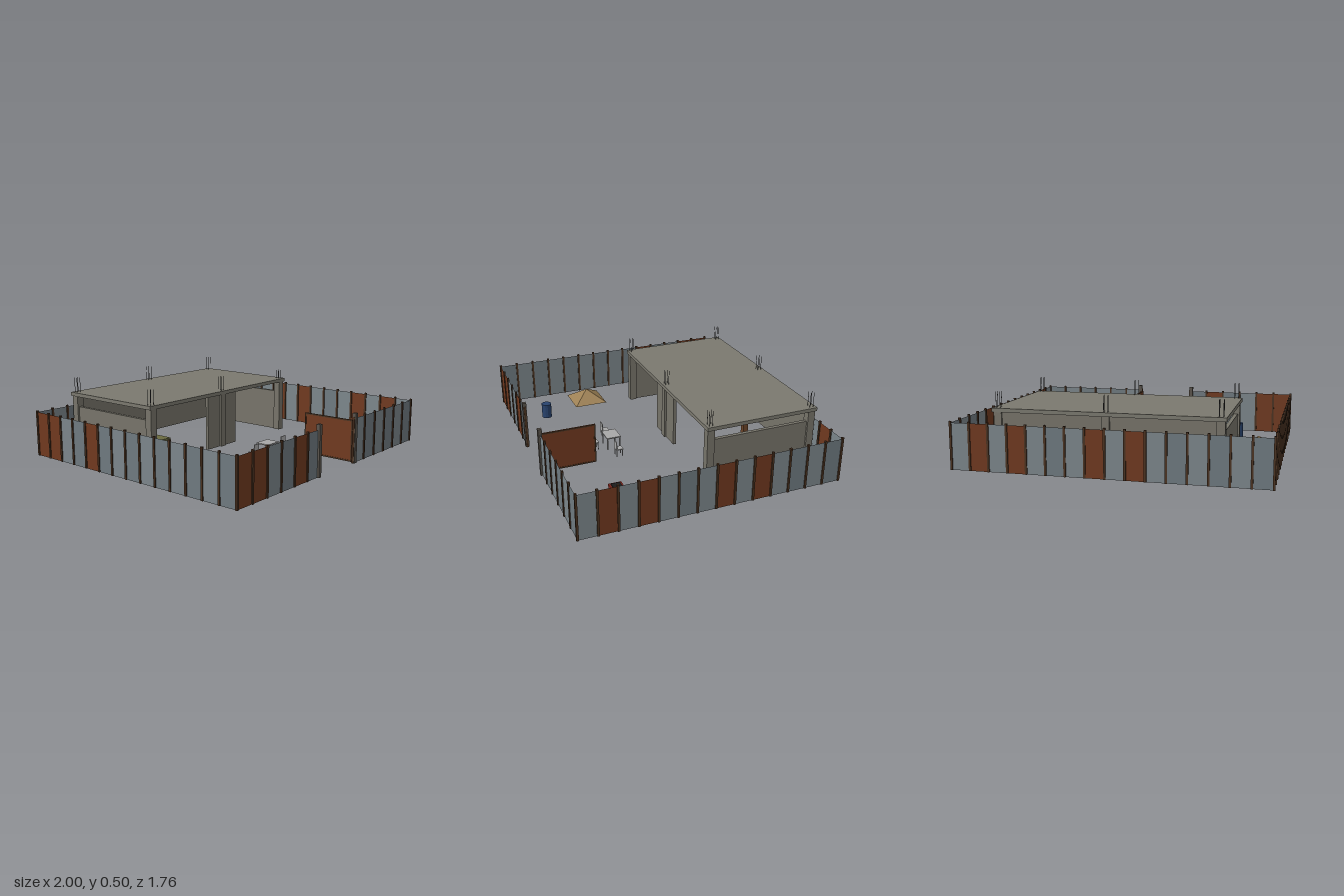
import * as THREE from 'three';

const mat = (color, side = THREE.FrontSide) => new THREE.MeshStandardMaterial({ color, side, flatShading: true });
const M = {
  slab: mat(0x7b796f), concrete: mat(0x77746a), steel: mat(0x4a4a4a),
  sheetA: mat(0x6f7a80, THREE.DoubleSide), sheetB: mat(0x7c868b, THREE.DoubleSide),
  rust: mat(0x70391f, THREE.DoubleSide), post: mat(0x4a3220), gatePost: mat(0x5a544c),
  furniture: mat(0xa8a8a8), block: mat(0x77756d), sand: mat(0x9c8054),
  blue: mat(0x28436e), red: mat(0x8a2a20), dark: mat(0x1c1c1c), olive: mat(0x6b6b40), wood: mat(0x6b4428),
};

function add(parent, name, geometry, material, x = 0, y = 0, z = 0) {
  const mesh = new THREE.Mesh(geometry, material);
  mesh.name = name;
  mesh.position.set(x, y, z);
  parent.add(mesh);
  return mesh;
}

// Box given by its centre in plan, its bottom height and its size
function box(parent, name, material, [x, y, z], [w, h, d]) {
  return add(parent, name, new THREE.BoxGeometry(w, h, d), material, x, y + h / 2, z);
}

function group(parent, name, x = 0, y = 0, z = 0) {
  const g = new THREE.Group();
  g.name = name;
  g.position.set(x, y, z);
  parent.add(g);
  return g;
}

// Straight run of thin sheets between posts; rusty lists the brown sheets
function fence(parent, name, [x0, z0], [x1, z1], count, rusty) {
  const run = group(parent, name);
  const length = Math.hypot(x1 - x0, z1 - z0);
  const angle = Math.atan2(-(z1 - z0), x1 - x0);
  for (let i = 0; i <= count; i++) {
    const at = (t) => [x0 + (x1 - x0) * t / count, z0 + (z1 - z0) * t / count];
    const [px, pz] = at(i);
    box(run, 'fencePost', M.post, [px, 0, pz], [0.014, 0.31, 0.014]);
    if (i === count) break;
    const [cx, cz] = at(i + 0.5);
    const material = rusty.includes(i) ? M.rust : i % 2 ? M.sheetA : M.sheetB;
    add(run, 'fenceSheet', new THREE.PlaneGeometry(length / count, 0.3), material, cx, 0.15, cz).rotation.y = angle;
  }
}

function building(parent) {
  const g = group(parent, 'building');
  const front = -0.1, back = -0.828, mid = (front + back) / 2, side = 0.685;
  box(g, 'roofSlab', M.slab, [0, 0.375, -0.465], [1.44, 0.025, 0.79]);
  for (const x of [-side, 0, side]) for (const z of [front, back]) {
    box(g, 'column', M.concrete, [x, 0, z], [0.05, 0.375, 0.05]);
    // Starter bars standing out of the roof
    for (const dx of [-0.013, 0.013]) for (const dz of [-0.012, 0.012])
      add(g, 'rebar', new THREE.CylinderGeometry(0.0018, 0.0018, 0.1, 5), M.steel, x + dx, 0.45, z + dz);
  }
  box(g, 'backWall', M.concrete, [0, 0, back], [2 * side, 0.375, 0.025]);
  box(g, 'frontWall', M.concrete, [0, 0, front], [0.3, 0.375, 0.022]);
  for (const s of [-1, 1]) box(g, 'sideWall', M.concrete, [s * side, 0, mid], [0.025, 0.3, front - back]);
  // Things kept under the roof
  box(g, 'mat', M.olive, [-0.245, 0, -0.59], [0.19, 0.028, 0.26]);
  box(g, 'mat', M.olive, [-0.47, 0, -0.63], [0.19, 0.028, 0.26]);
  box(g, 'timber', M.wood, [0.388, 0, -0.517], [0.035, 0.2, 0.035]);
}

function legs(parent, w, d, h, t) {
  for (const x of [-w, w]) for (const z of [-d, d]) box(parent, 'leg', M.furniture, [x, 0, z], [t, h, t]);
}

function chair(parent, x, z) {
  const g = group(parent, 'chair', x, 0, z);
  legs(g, 0.02, 0.02, 0.05, 0.005);
  box(g, 'seat', M.furniture, [0, 0.05, 0], [0.05, 0.006, 0.05]);
  box(g, 'chairBack', M.furniture, [0, 0.056, 0.022], [0.05, 0.054, 0.006]);
}

export function createModel() {
  const model = new THREE.Group();
  model.name = 'walledYard';

  const f = 0.865, b = -0.875, e = 0.994;
  fence(model, 'backFence', [e, b], [-e, b], 16, [1, 3, 7, 9]);
  fence(model, 'leftFence', [e, f], [e, b], 14, [1, 3, 7, 9]);
  fence(model, 'rightFence', [-e, b], [-e, f], 14, [0, 1, 4]);
  fence(model, 'frontFenceRight', [-e, f], [-0.2, f], 6, [0, 1, 4]);
  fence(model, 'frontFenceLeft', [0.2, f], [e, f], 6, []);

  // Gate swung open into the yard
  for (const s of [-1, 1]) box(model, 'gatePost', M.gatePost, [s * 0.21, 0, f], [0.026, 0.335, 0.026]);
  const gate = group(model, 'gate', 0.192, 0.01, 0.675);
  box(gate, 'gateSheet', M.rust, [0, 0, 0], [0.006, 0.28, 0.37]);
  for (const y of [0, 0.27]) box(gate, 'gateRail', M.post, [0, y, 0], [0.01, 0.01, 0.37]);
  for (const z of [-0.18, 0.18]) box(gate, 'gateStile', M.post, [0, 0, z], [0.01, 0.28, 0.01]);

  building(model);

  // Table and chairs
  const table = group(model, 'table', 0, 0, 0.317);
  legs(table, 0.052, 0.044, 0.084, 0.007);
  box(table, 'tableTop', M.furniture, [0, 0.084, 0], [0.122, 0.008, 0.1]);
  chair(model, -0.15, 0.315);
  chair(model, 0.15, 0.315);
  chair(model, 0, 0.44);

  // Sand heap: four-sided cone turned square to the yard
  const sand = new THREE.ConeGeometry(0.245 / Math.SQRT2, 0.085, 4);
  sand.rotateY(Math.PI / 4);
  add(model, 'sandHeap', sand, M.sand, -0.81, 0.0425, 0.243);

  // Stack of building blocks
  const stack = group(model, 'blockStack', -0.818, 0, -0.595);
  for (let i = -1; i <= 1; i++) for (const z of [-0.014, 0.014]) for (const y of [0, 0.027])
    box(stack, 'block', M.block, [i * 0.055, y, z], [0.05, 0.025, 0.024]);

  add(model, 'barrel', new THREE.CylinderGeometry(0.036, 0.036, 0.105, 12), M.blue, -0.622, 0.0525, 0.615);

  // Red tank with a dark top
  box(model, 'tank', M.red, [0.682, 0, 0.51], [0.122, 0.09, 0.084]);
  box(model, 'tankTop', M.dark, [0.682, 0.09, 0.51], [0.096, 0.006, 0.06]);

  return model;
}
